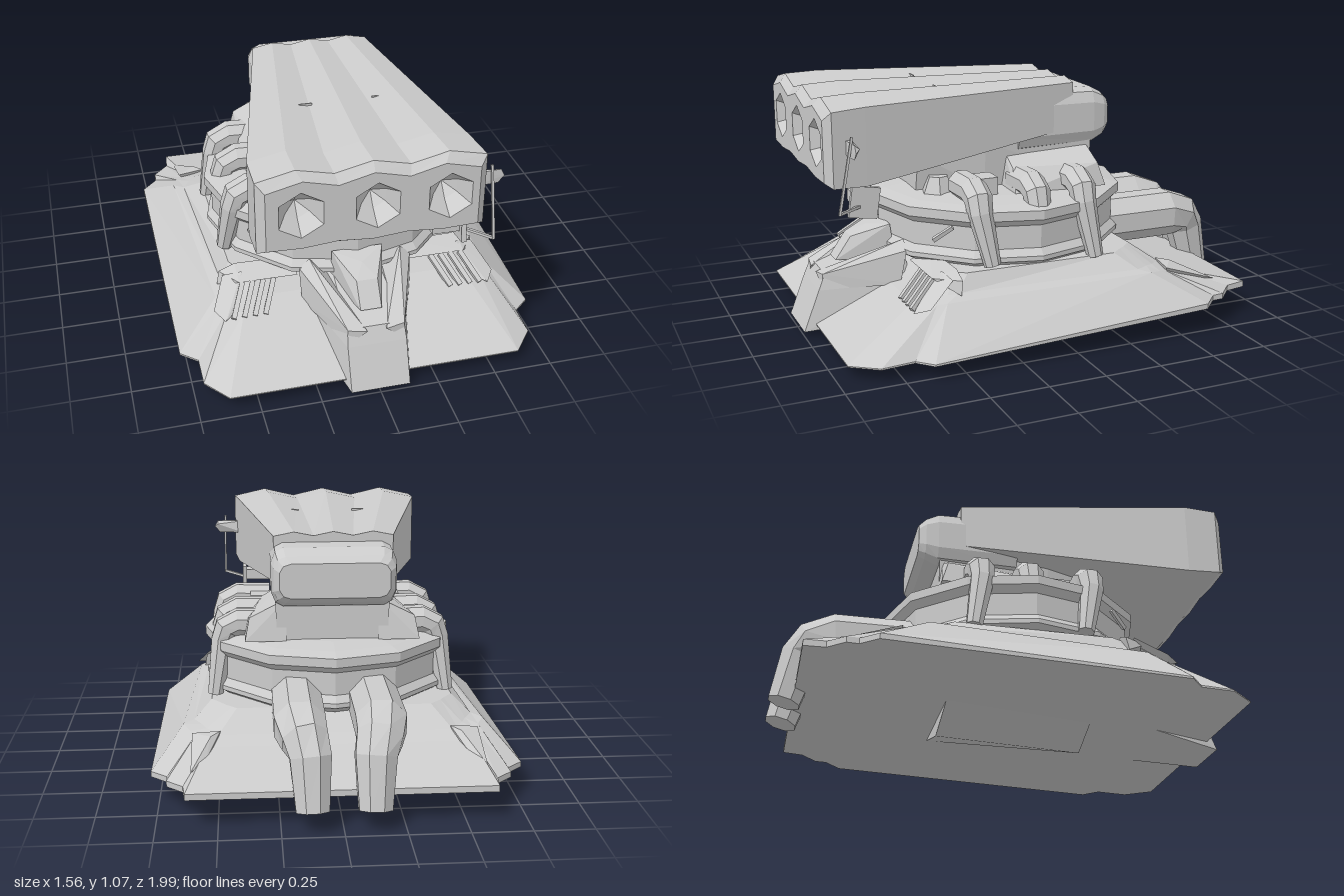
import * as THREE from 'three';
import { ConvexGeometry } from 'three/addons/geometries/ConvexGeometry.js';

const mat = new THREE.MeshStandardMaterial({ color: 0xcccccc, flatShading: true, side: THREE.DoubleSide });
const V = (x, y, z) => new THREE.Vector3(x, y, z);

function add(parent, name, geo, x = 0, y = 0, z = 0) {
  const m = new THREE.Mesh(geo, mat);
  m.name = name;
  m.position.set(x, y, z);
  parent.add(m);
  return m;
}
const hull = (...pts) => new ConvexGeometry(pts.map(p => V(...p)));
// hull of points mirrored across x = 0
const symHull = (...pts) => hull(...pts, ...pts.map(([x, y, z]) => [-x, y, z]));

// skin a list of equal-length rings, counter-clockwise about the direction of travel
function loft(rings, capStart = true, capEnd = true) {
  const n = rings[0].length, pos = [], idx = [];
  rings.forEach(r => r.forEach(p => pos.push(p.x, p.y, p.z)));
  for (let k = 0; k < rings.length - 1; k++) for (let i = 0; i < n; i++) {
    const a = k * n + i, b = k * n + (i + 1) % n;
    idx.push(a, b, b + n, a, b + n, a + n);
  }
  const cap = (k, flip) => {
    const c = rings[k].reduce((s, p) => s.add(p), V(0, 0, 0)).divideScalar(n);
    const ci = pos.length / 3;
    pos.push(c.x, c.y, c.z);
    for (let i = 0; i < n; i++) {
      const a = k * n + i, b = k * n + (i + 1) % n;
      if (flip) idx.push(ci, b, a); else idx.push(ci, a, b);
    }
  };
  if (capStart) cap(0, true);
  if (capEnd) cap(rings.length - 1, false);
  const g = new THREE.BufferGeometry();
  g.setAttribute('position', new THREE.Float32BufferAttribute(pos, 3));
  g.setIndex(idx);
  const flat = g.toNonIndexed();
  flat.computeVertexNormals();
  return flat;
}

// tapered faceted pipe along a path; ref is a direction across the bend
function pipe(path, radii, sides, ref) {
  const pts = path.map(p => V(...p));
  return loft(pts.map((p, k) => {
    const t = pts[Math.min(k + 1, pts.length - 1)].clone().sub(pts[Math.max(k - 1, 0)]).normalize();
    const v = t.clone().cross(ref).normalize(), u = v.clone().cross(t);
    return Array.from({ length: sides }, (_, i) => {
      const a = (i + 0.5) / sides * Math.PI * 2;
      return p.clone().addScaledVector(u, radii[k] * Math.cos(a)).addScaledVector(v, radii[k] * Math.sin(a));
    });
  }));
}

function buildBase(root) {
  const g = new THREE.Group();
  g.name = 'base';
  root.add(g);
  // sloping skirt: half outlines from front to rear, mirrored into rings
  const ring = half => [...half, ...half.map(([x, y, z]) => [-x, y, z]).reverse()].map(p => V(...p));
  const foot = [[.62, .95], [.71, .84], [.71, .7], [.78, .64], [.78, -.61], [.71, -.68], [.71, -.73], [.64, -.8], [.63, -.89]]
    .map(([x, z]) => [x, .05 + (.95 - z) * .04, z]);
  const rim = foot.map(([x, y, z]) => [x, y + .005 + (.95 - z) * .012, z]);
  const shoulder = [[.5, .23, .64], [.56, .235, .6], [.585, .24, .56], [.6, .245, .52], [.65, .265, -.4],
    [.62, .255, -.46], [.6, .245, -.5], [.57, .235, -.54], [.55, .225, -.58]];
  const shelf = [[.47, .25, .56], [.52, .255, .53], [.545, .26, .5], [.56, .265, .46], [.605, .272, -.36],
    [.57, .27, -.42], [.55, .265, -.46], [.52, .26, -.49], [.5, .255, -.52]];
  const crown = [[.42, .47], [.47, .46], [.5, .44], [.52, .4], [.53, -.28], [.49, -.33], [.47, -.36], [.44, -.39], [.42, -.41]]
    .map(([x, z]) => [x, .335, z]);
  add(g, 'skirt', loft([foot, rim, shoulder, shelf, crown].map(ring)));
  add(g, 'keel', symHull([.26, .1, .39], [.26, .1, -.26], [0, 0, .39], [0, .03, -.26]));
  // front prow with spreading arms
  add(g, 'prow', symHull([.125, .02, 1], [.125, .2, .93], [.12, .27, .9], [.25, .085, .5], [.22, .22, .6], [.1, .35, .55]));
  add(g, 'prowBlock', symHull([.045, .3, .83], [.045, .4, .76], [.11, .455, .6], [.11, .3, .58], [0, .435, .68]));
  for (const s of [1, -1]) {
    add(g, 'prowArm', hull([s * .04, .26, .92], [s * .12, .27, .91], [s * .12, .2, .91],
      [s * .2, .41, .57], [s * .245, .37, .57], [s * .24, .22, .6], [s * .1, .3, .56]));
    // louvred guards at the front corners
    add(g, 'cornerGuard', hull([s * .25, .36, .46], [s * .5, .35, .44], [s * .25, .33, .56], [s * .5, .325, .55],
      [s * .57, .32, .44], [s * .25, .3, .46], [s * .58, .26, .45]));
    add(g, 'cornerStrut', hull([s * .48, .345, .5], [s * .56, .325, .48], [s * .48, .31, .54],
      [s * .62, .235, .6], [s * .58, .215, .66], [s * .54, .23, .63]));
    for (let i = 0; i < 4; i++) {
      const x = .35 + i * .045;
      add(g, 'slat', pipe([[s * x, .315, .54], [s * (x + .06), .22, .655]], [.015, .015], 4, V(1, 0, 0)));
    }
    // rear corner lumps
    add(g, 'rearCornerLump', hull([s * .61, .26, -.5], [s * .49, .27, -.51], [s * .53, .265, -.56],
      [s * .61, .18, -.74], [s * .55, .2, -.66], [s * .6, .22, -.6], [s * .52, .15, -.55]));
  }
}

function buildTurret(root) {
  const g = new THREE.Group();
  g.name = 'turret';
  root.add(g);
  // twelve-sided flanged ring, slightly longer than wide
  const profile = [[0, .32], [.5, .32], [.555, .355], [.555, .375], [.53, .405], [.53, .505], [.56, .535],
    [.56, .575], [.5, .59], [.4, .605], [0, .615]].map(p => new THREE.Vector2(...p));
  add(g, 'ring', new THREE.LatheGeometry(profile, 12).toNonIndexed().scale(1, 1, 1.03), 0, 0, .07);
  add(g, 'neck', symHull([.13, .6, .485], [.17, .765, .485], [.24, .81, .2], [.22, .6, .2], [.24, .6, -.3], [.25, .84, -.3]));
  for (const s of [1, -1]) {
    add(g, 'neckStrut', hull([s * .2, .6, -.31], [s * .38, .6, -.31], [s * .38, .6, .12], [s * .2, .6, .12],
      [s * .2, .78, -.28], [s * .36, .7, -.28], [s * .3, .7, .1], [s * .2, .76, .1]));
    // side hoses
    for (const [z, end] of [[-.155, .33], [.06, .56], [.325, .35]]) {
      const low = end > .5;
      add(g, 'hose', pipe([[s * .26, .645, z], [s * .41, .65, z], [s * .46, .625, z], [s * .478, .57, z],
        [s * (low ? .48 : .515), low ? .55 : end, z - (low ? 0 : .04)]],
      [.062, .062, .06, .054, low ? .05 : .036], 8, V(0, 0, 1)));
    }
    // deck fittings and blades
    const knob = add(g, 'deckKnob', new THREE.CylinderGeometry(.045, .075, .07, 6), s * .18, .635, .4);
    knob.rotation.y = .3;
    add(g, 'deckBox', new THREE.BoxGeometry(.1, .08, .1), s * .3, .64, .24);
    add(g, 'blade', pipe([[s * .43, .51, .43], [s * .385, .45, .5]], [.012, .012], 4, V(1, 0, 0)));
    // rear exhausts
    add(g, 'exhaust', pipe([[s * .165, .37, -.3], [s * .165, .37, -.74], [s * .15, .345, -.83], [s * .13, .29, -.875], [s * .125, .08, -.93]],
      [.113, .113, .1, .09, .072], 8, V(1, 0, 0)));
  }
}

function buildLauncher(root) {
  const g = new THREE.Group();
  g.name = 'launcher';
  root.add(g);
  // section with a three-crested top, running right to left then back below
  const dips = [.035, 0, .035, 0, .035, 0, .035], under = [.005, 0, .012, 0, .012, 0, .005];
  const steps = [1, .66, .33, 0, -.33, -.66, -1];
  const section = (z, cx, hw, top, bottom, k) => [
    ...steps.map((t, i) => V(cx + hw * t, top - dips[i] * k, z)),
    ...steps.map((t, i) => V(cx - hw * t, bottom + under[i] * k, z))];
  const face = section(.955, -.035, .422, 1.032, .738, 1);
  add(g, 'housing', loft([
    section(-.21, -.01, .26, 1.06, .84, .5),
    section(.78, -.045, .445, 1.072, .712, .9),
    section(.925, -.035, .455, 1.068, .718, 1),
    face], true, false));
  // muzzle plate with hexagonal recesses
  const shape = new THREE.Shape(face.map(p => new THREE.Vector2(p.x, p.y)));
  const recess = [[.1, 0], [.055, -.07], [0, -.12]].map(p => new THREE.Vector2(...p));
  for (const x of [-.32, -.02, .27]) {
    shape.holes.push(new THREE.Path(Array.from({ length: 6 }, (_, i) =>
      new THREE.Vector2(x + .1 * Math.sin(i * Math.PI / 3), .885 + .1 * Math.cos(i * Math.PI / 3)))));
    add(g, 'muzzle', new THREE.LatheGeometry(recess, 6).toNonIndexed().rotateX(Math.PI / 2), x, .885, .955);
  }
  add(g, 'muzzlePlate', new THREE.ShapeGeometry(shape), 0, 0, .955);
  for (const x of [-.17, .14]) add(g, 'topSlot', new THREE.BoxGeometry(.055, .01, .006), x, 1.048, .39);
  // rounded rear block
  const rear = (z, w, h) => [[1, .5], [.93, .86], [.8, 1], [-.8, 1], [-.93, .86], [-1, .5],
    [-1, -.5], [-.93, -.86], [-.8, -1], [.8, -1], [.93, -.86], [1, -.5]].map(([x, y]) => V(-.005 + x * w, .885 + y * h, z));
  add(g, 'rearBlock', loft([rear(-.395, .235, .075), rear(-.365, .26, .1), rear(-.31, .27, .128), rear(.05, .27, .135)]));

  // sight bracket on the left flank
  const sight = new THREE.Group();
  sight.name = 'sight';
  g.add(sight);
  add(sight, 'sightBox', hull([.38, .855, .87], [.38, .915, .87], [.51, .915, .86], [.525, .885, .86], [.5, .855, .86],
    [.38, .855, .83], [.38, .915, .84], [.51, .9, .84]));
  add(sight, 'sightRod', pipe([[.47, .94, .86], [.475, .63, .92]], [.007, .007], 4, V(1, 0, 0)));
  add(sight, 'sightLink', pipe([[.475, .635, .92], [.37, .63, .8]], [.008, .008], 4, V(0, 1, 0)));
  const plate = add(sight, 'sightPlate', new THREE.BoxGeometry(.02, .13, .12), .375, .645, .79);
  plate.rotation.x = -.15;
  add(sight, 'sightFoot', new THREE.BoxGeometry(.12, .05, .07), .31, .65, .79);
}

export function createModel() {
  const root = new THREE.Group();
  root.name = 'launcherTurret';
  buildBase(root);
  buildTurret(root);
  buildLauncher(root);
  return root;
}
